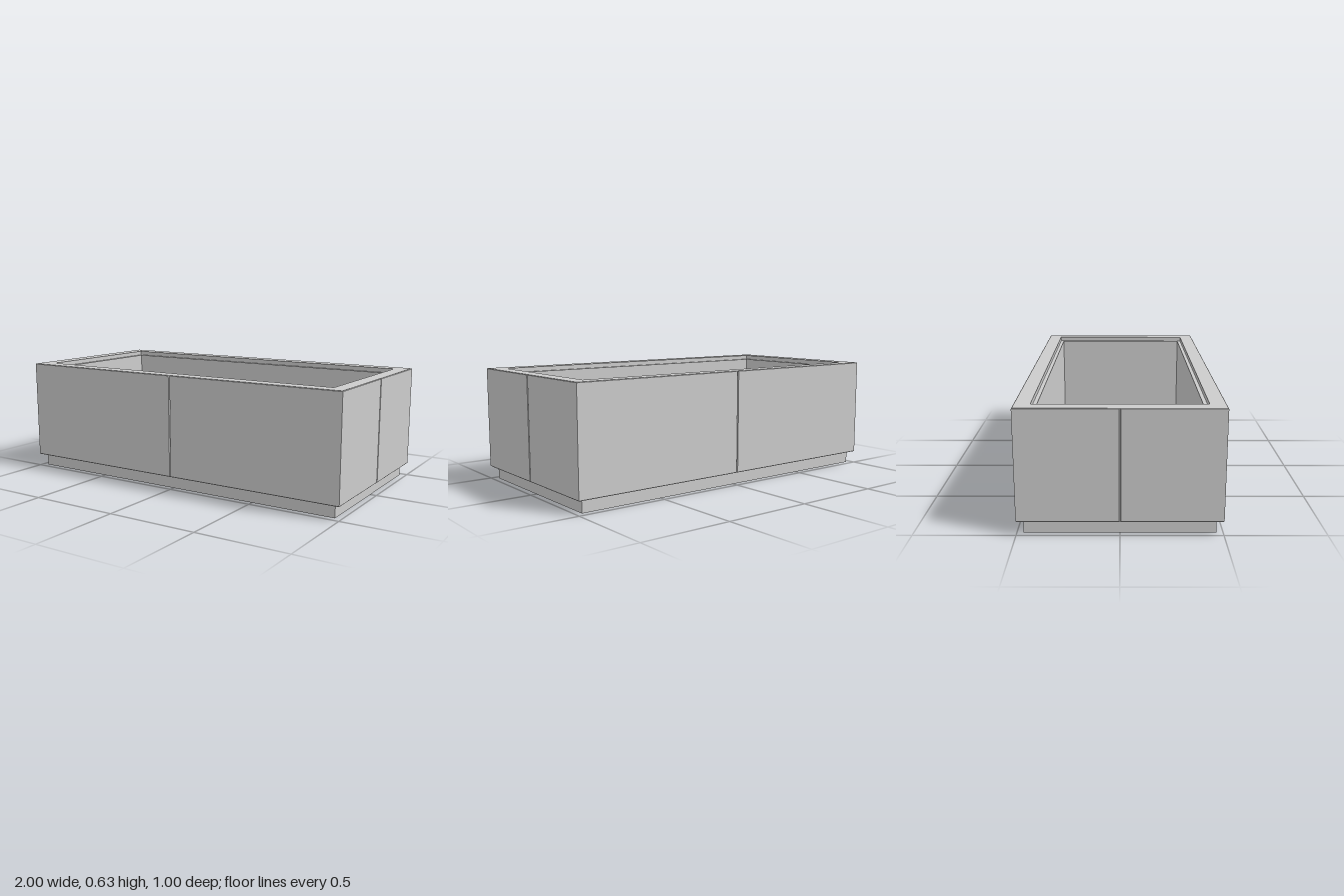
import * as THREE from 'three';

const BASE_TOP = 0.07, TOP = 0.633, EDGE = 0.003;

// Rectangular outline with a V notch in the middle of each side
function outline({ x, z, y, notch = 0 }) {
  const w = 0.004; // half width of the seam
  const side = [
    [x, -z], [x, -w], [x - notch, 0], [x, w],
    [x, z], [w, z], [0, z - notch], [-w, z],
  ];
  return [...side, ...side.map(([px, pz]) => [-px, -pz])].map(([px, pz]) => [px, y, pz]);
}

// Skin a list of outlines into one flat-shaded surface
function skin(sections) {
  const rings = sections.map(outline);
  const pos = [];
  for (let r = 0; r < rings.length - 1; r++) {
    const lo = rings[r], hi = rings[r + 1], n = lo.length;
    for (let i = 0; i < n; i++) {
      const j = (i + 1) % n;
      pos.push(...lo[i], ...hi[i], ...hi[j], ...lo[i], ...hi[j], ...lo[j]);
    }
  }
  const geo = new THREE.BufferGeometry();
  geo.setAttribute('position', new THREE.Float32BufferAttribute(pos, 3));
  geo.computeVertexNormals();
  return geo;
}

export function createModel() {
  const group = new THREE.Group();
  const material = new THREE.MeshStandardMaterial({ color: 0xcccccc, flatShading: true });
  const add = (name, geometry, y = 0) => {
    const mesh = new THREE.Mesh(geometry, material);
    mesh.name = name;
    mesh.position.y = y;
    group.add(mesh);
  };

  // Open box: underside, seamed outer walls, rim, recessed ledge, inner walls
  const seam = 0.008;
  add('planterWalls', skin([
    { x: 0.9, z: 0.4, y: BASE_TOP },
    { x: 1 - EDGE, z: 0.5 - EDGE, y: BASE_TOP, notch: seam - EDGE },
    { x: 1, z: 0.5, y: BASE_TOP + EDGE, notch: seam },
    { x: 1, z: 0.5, y: TOP - EDGE, notch: seam },
    { x: 1 - EDGE, z: 0.5 - EDGE, y: TOP, notch: 0 },
    { x: 0.92, z: 0.42, y: TOP },
    { x: 0.92, z: 0.42, y: TOP - 0.025 },
    { x: 0.9, z: 0.4, y: TOP - 0.025 },
    { x: 0.9, z: 0.4, y: BASE_TOP },
  ]));

  // Recessed plinth, whose top is also the floor of the box
  add('plinth', new THREE.BoxGeometry(1.932, BASE_TOP, 0.934), BASE_TOP / 2);

  return group;
}
